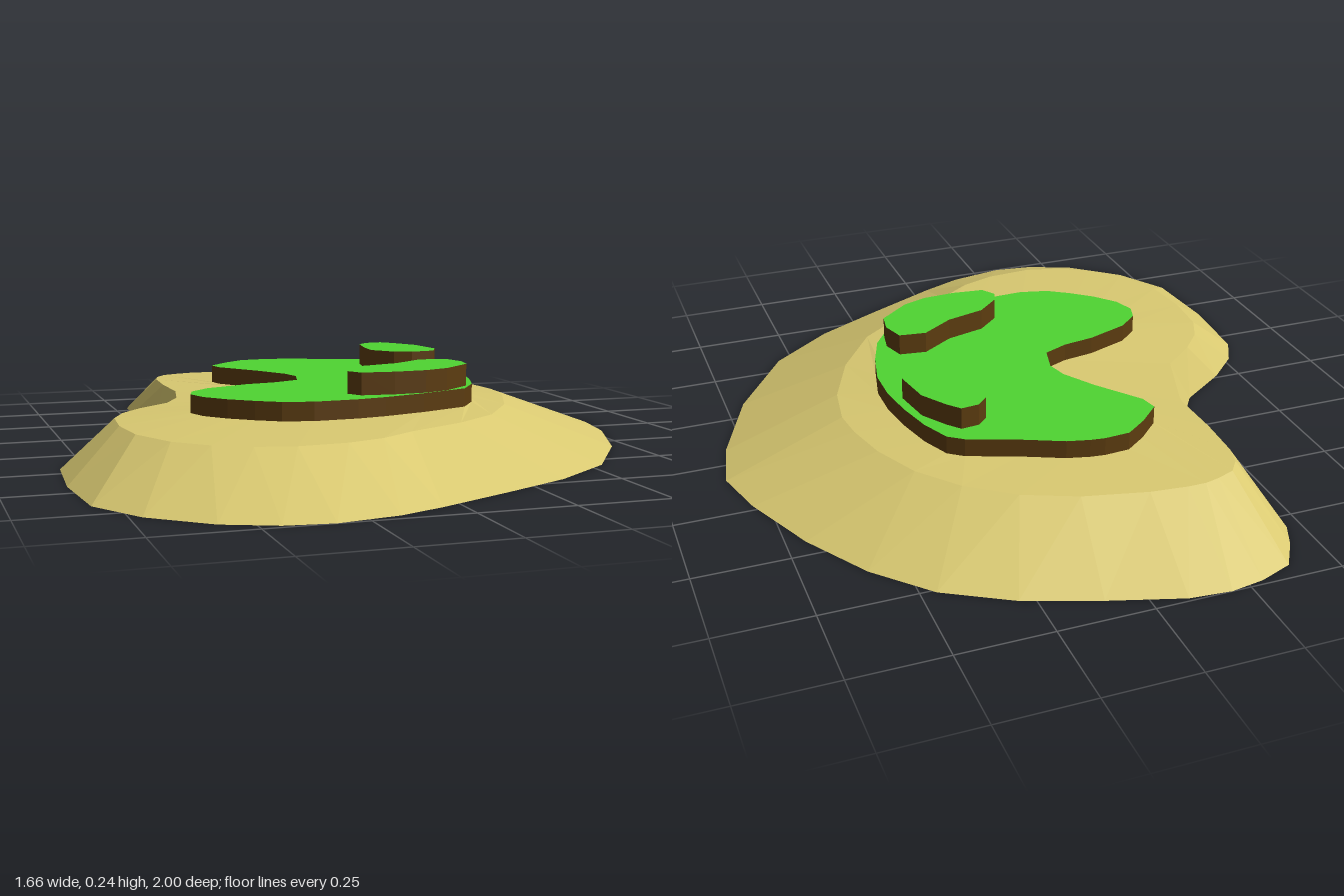
import * as THREE from 'three';

// Outlines as x, z pairs seen from above, all running clockwise from the back.
const SHORE = [
  -0.2, -1, -0.09, -0.99, 0.1, -0.93, 0.29, -0.86, 0.46, -0.76, 0.59, -0.62, 0.7, -0.44,
  0.79, -0.23, 0.83, -0.08, 0.8, 0.08, 0.7, 0.33, 0.54, 0.57, 0.36, 0.71, 0.17, 0.81,
  -0.05, 0.92, -0.17, 0.97, -0.33, 1, -0.45, 0.985, -0.58, 0.93, -0.72, 0.81, -0.81, 0.66,
  -0.83, 0.42, -0.815, 0.19, -0.77, 0.1, -0.68, 0.01, -0.54, -0.09, -0.48, -0.18,
  -0.44, -0.32, -0.44, -0.46, -0.465, -0.68, -0.46, -0.8, -0.43, -0.87, -0.38, -0.95, -0.29, -0.985,
];
const CREST = [
  -0.22, -0.71, -0.12, -0.7, 0.05, -0.66, 0.19, -0.6, 0.31, -0.51, 0.4, -0.4, 0.46, -0.27,
  0.49, -0.15, 0.5, -0.06, 0.48, 0.07, 0.41, 0.24, 0.3, 0.4, 0.17, 0.5, 0, 0.59,
  -0.1, 0.66, -0.2, 0.695, -0.33, 0.705, -0.43, 0.68, -0.52, 0.63, -0.6, 0.55, -0.66, 0.42,
  -0.675, 0.28, -0.665, 0.15, -0.63, 0.07, -0.57, 0, -0.475, -0.08, -0.43, -0.17,
  -0.405, -0.3, -0.41, -0.45, -0.405, -0.58, -0.39, -0.64, -0.36, -0.68, -0.31, -0.7, -0.27, -0.71,
];
const MEADOW = [
  -0.08, -0.51, -0.04, -0.505, 0.02, -0.49, 0.13, -0.44, 0.26, -0.39, 0.3, -0.36, 0.335, -0.28,
  0.36, -0.18, 0.375, -0.08, 0.375, 0.02, 0.35, 0.13, 0.315, 0.23, 0.26, 0.31, 0.12, 0.365,
  0, 0.4, -0.08, 0.415, -0.2, 0.42, -0.28, 0.4, -0.34, 0.36, -0.4, 0.31, -0.45, 0.25,
  -0.47, 0.19, -0.455, 0.14, -0.4, 0.09, -0.28, 0.045, -0.19, 0.03, -0.12, 0,
  -0.1, -0.08, -0.115, -0.14, -0.17, -0.23, -0.26, -0.35, -0.27, -0.4, -0.21, -0.46, -0.15, -0.505,
];
const BACK_MOUND = [
  0.2, -0.33, 0.25, -0.335, 0.28, -0.3, 0.325, -0.23, 0.345, -0.12, 0.32, -0.07,
  0.25, -0.06, 0.2, -0.08, 0.15, -0.14, 0.155, -0.22, 0.17, -0.3,
];
const FRONT_MOUND = [
  0.2, 0.125, 0.275, 0.135, 0.295, 0.2, 0.285, 0.26, 0.2, 0.33, 0.13, 0.355,
  0.04, 0.36, -0.05, 0.35, -0.075, 0.31, -0.06, 0.27, 0, 0.215, 0.11, 0.185,
];

// Open shell through stacked outlines with equal point counts.
function loft(rings) {
  const n = rings[0].outline.length / 2;
  const positions = [];
  const index = [];
  for (const { outline, y } of rings) {
    for (let i = 0; i < n; i++) positions.push(outline[2 * i], y, outline[2 * i + 1]);
  }
  for (let r = 0; r < rings.length - 1; r++) {
    for (let i = 0; i < n; i++) {
      const j = (i + 1) % n;
      const a = r * n + i, b = r * n + j, c = a + n, d = b + n;
      index.push(a, c, b, b, c, d);
    }
  }
  const indexed = new THREE.BufferGeometry();
  indexed.setAttribute('position', new THREE.Float32BufferAttribute(positions, 3));
  indexed.setIndex(index);
  const geometry = indexed.toNonIndexed();
  geometry.computeVertexNormals();
  return geometry;
}

// Upright slab of earth whose top face is grass.
function turf(name, outline, bottom, top, materials) {
  const points = [];
  for (let i = 0; i < outline.length; i += 2) {
    points.push(new THREE.Vector2(outline[i], -outline[i + 1]));
  }
  const geometry = new THREE.ExtrudeGeometry(new THREE.Shape(points), {
    depth: top - bottom, bevelEnabled: false,
  });
  geometry.rotateX(-Math.PI / 2).translate(0, bottom, 0);

  // The lids come first: underside, then top, followed by the walls.
  const [lids, walls] = geometry.groups;
  geometry.clearGroups();
  geometry.addGroup(0, lids.count / 2, 0);
  geometry.addGroup(lids.count / 2, lids.count / 2, 1);
  geometry.addGroup(walls.start, walls.count, 0);
  const mesh = new THREE.Mesh(geometry, materials);
  mesh.name = name;
  return mesh;
}

export function createModel() {
  const model = new THREE.Group();
  model.name = 'island';

  const sand = new THREE.MeshStandardMaterial({
    color: 0xd9c971, flatShading: true, side: THREE.DoubleSide,
  });
  const earth = new THREE.MeshStandardMaterial({ color: 0x5c3c10, flatShading: true });
  const grass = new THREE.MeshStandardMaterial({ color: 0x4fd432, flatShading: true });

  // Beach: sloping shore and nearly level shelf, open underneath
  const beach = new THREE.Mesh(loft([
    { outline: SHORE, y: 0 },
    { outline: CREST, y: 0.12 },
    { outline: MEADOW, y: 0.13 },
  ]), sand);
  beach.name = 'beach';
  model.add(beach);

  // Grassy ground and its two raised mounds
  model.add(turf('meadow', MEADOW, 0.13, 0.18, [earth, grass]));
  model.add(turf('backMound', BACK_MOUND, 0.18, 0.24, [earth, grass]));
  model.add(turf('frontMound', FRONT_MOUND, 0.18, 0.24, [earth, grass]));

  return model;
}
